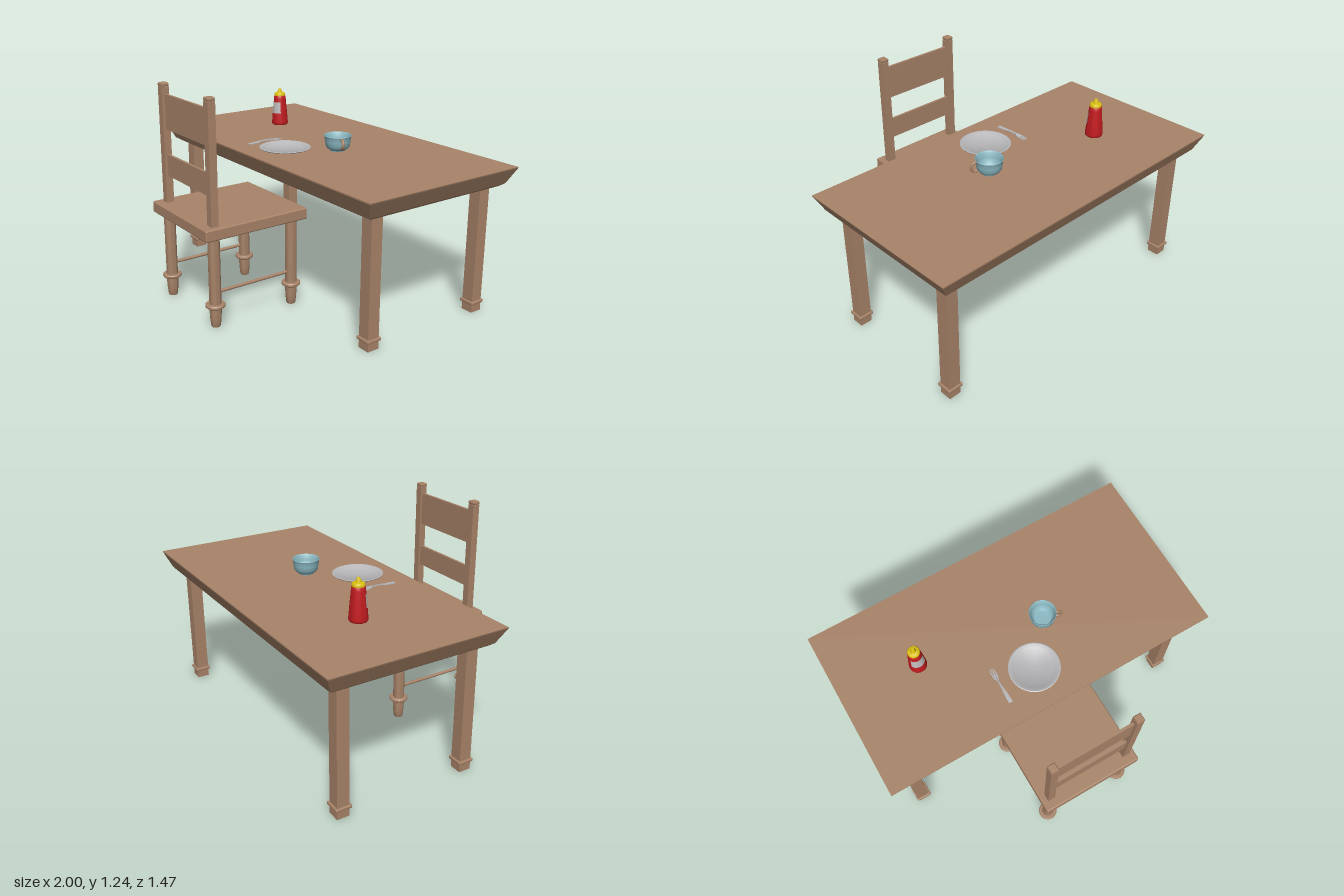
import * as THREE from 'three';
import { toCreasedNormals } from 'three/addons/utils/BufferGeometryUtils.js';
import { RoundedBoxGeometry } from 'three/addons/geometries/RoundedBoxGeometry.js';

const material = (name, color, side = THREE.FrontSide) => {
  const m = new THREE.MeshStandardMaterial({ color, side });
  m.name = name;
  return m;
};

// Flat-sided solid through rectangular sections [halfX, halfZ, y]
function rectLoft(sections) {
  const corners = [[1, 1], [1, -1], [-1, -1], [-1, 1]];
  const pos = [];
  const point = (i, k) => {
    const [hx, hz, y] = sections[i], [sx, sz] = corners[k % 4];
    return [sx * hx, y, sz * hz];
  };
  const quad = (a, b, c, d) => pos.push(...a, ...b, ...c, ...a, ...c, ...d);
  const last = sections.length - 1;
  for (let i = 0; i < last; i++)
    for (let k = 0; k < 4; k++)
      quad(point(i, k), point(i, k + 1), point(i + 1, k + 1), point(i + 1, k));
  quad(point(0, 3), point(0, 2), point(0, 1), point(0, 0));
  quad(point(last, 0), point(last, 1), point(last, 2), point(last, 3));
  const g = new THREE.BufferGeometry();
  g.setAttribute('position', new THREE.Float32BufferAttribute(pos, 3));
  g.computeVertexNormals();
  return g;
}

function lathe(profile, segments = 32, start = 0, length = Math.PI * 2) {
  const pts = profile.map(([r, y]) => new THREE.Vector2(r, y));
  return toCreasedNormals(new THREE.LatheGeometry(pts, segments, start, length), 0.6);
}

export function createModel() {
  const wood = material('wood', 0xa98469);
  const red = material('sauce red', 0xc41c20);
  const yellow = material('cap yellow', 0xdcc010);
  const teal = material('cup teal', 0x8cbac4);
  const silver = material('plate silver', 0xb8b8ba);
  const paper = material('label paper', 0xc2bcbc, THREE.DoubleSide);

  const model = new THREE.Group();
  const group = (name, x = 0, y = 0, z = 0) => {
    const g = new THREE.Group();
    g.name = name;
    g.position.set(x, y, z);
    model.add(g);
    return g;
  };
  const add = (parent, name, geometry, mat, x = 0, y = 0, z = 0) => {
    const mesh = new THREE.Mesh(geometry, mat);
    mesh.name = name;
    mesh.position.set(x, y, z);
    parent.add(mesh);
    return mesh;
  };

  // Table: sloped-edge top, hollow underneath, on four square legs
  const table = group('table', 0, 0, -0.225);
  add(table, 'tableTop', rectLoft([
    [0.915, 0.425, 0.765], [0.915, 0.425, 0.722], [0.932, 0.448, 0.722],
    [0.952, 0.472, 0.737], [0.998, 0.51, 0.825], [1, 0.51, 0.832],
  ]), wood);
  for (const sx of [-1, 1]) for (const sz of [-1, 1]) {
    const x = sx * 0.865, z = sz * 0.375;
    add(table, 'tableLeg', new THREE.BoxGeometry(0.07, 0.77, 0.07), wood, x, 0.385, z);
    add(table, 'tableLegCollar', new RoundedBoxGeometry(0.09, 0.018, 0.09, 2, 0.005), wood, x, 0.056, z);
  }

  // Chair: slab seat, turned legs, square back posts and two slats
  const chair = group('chair', -0.018, 0, 0.418);
  add(chair, 'seat', new RoundedBoxGeometry(0.596, 0.064, 0.63, 2, 0.008), wood, 0, 0.541, 0);
  const legShape = lathe([
    [0, 0.008], [0.023, 0.008], [0.026, 0.016], [0.03, 0.05], [0.032, 0.09], [0.032, 0.53],
  ], 24);
  const collarShape = lathe([
    [0.03, 0.12], [0.048, 0.12], [0.053, 0.125], [0.053, 0.135], [0.048, 0.14], [0.03, 0.14],
  ], 24);
  const postShape = rectLoft([
    [0.0215, 0.0215, 0.56], [0.0215, 0.0215, 1.218], [0.0195, 0.0195, 1.221],
    [0.0215, 0.0215, 1.224], [0.0215, 0.0215, 1.234], [0.018, 0.018, 1.24],
  ]);
  for (const s of [-1, 1]) {
    const x = s * 0.243;
    for (const z of [-0.244, 0.243]) {
      add(chair, 'chairLeg', legShape, wood, x, 0, z);
      add(chair, 'chairLegCollar', collarShape, wood, x, 0, z);
    }
    const bar = new THREE.CylinderGeometry(0.009, 0.009, 0.48, 12).rotateX(Math.PI / 2);
    add(chair, 'stretcher', bar, wood, x, 0.202, 0);
    add(chair, 'backPost', postShape, wood, x + 0.001, 0, 0.243);
  }
  for (const [y0, y1] of [[0.725, 0.847], [0.988, 1.18]])
    add(chair, 'backSlat', new THREE.BoxGeometry(0.46, y1 - y0, 0.015), wood, 0, (y0 + y1) / 2, 0.241);

  // Squeeze bottle
  const bottle = group('bottle', -0.54, 0.832, -0.288);
  add(bottle, 'bottleBody', lathe([
    [0, 0], [0.046, 0], [0.05, 0.006], [0.05, 0.018], [0.045, 0.08], [0.037, 0.165],
    [0.035, 0.182], [0.031, 0.188], [0, 0.188],
  ]), red);
  add(bottle, 'bottleCap', lathe([
    [0.031, 0.18], [0.034, 0.182], [0.034, 0.194], [0.03, 0.2], [0.016, 0.204],
    [0.013, 0.213], [0.008, 0.227], [0, 0.228],
  ]), yellow);
  add(bottle, 'bottleLabel', lathe([[0.0462, 0.074], [0.0396, 0.144]], 16, -1.08, 2.16), paper);

  // Plate
  const plate = group('plate', 0, 0.832, 0.053);
  add(plate, 'plateDish', lathe([
    [0, 0], [0.1, 0], [0.142, 0.012], [0.145, 0.016], [0.14, 0.018],
    [0.117, 0.012], [0.108, 0.006], [0, 0.006],
  ], 48), silver);

  // Fork: flat outline, arched along its length
  const half = [[0.011, -0.11], [0.012, -0.1], [0.01, -0.05], [0.006, -0.02], [0.005, 0.03],
    [0.014, 0.05], [0.016, 0.065], [0.014, 0.11], [0.009, 0.11], [0.008, 0.07],
    [0.004, 0.07], [0.003, 0.11]];
  const outline = [...half, ...half.map(([x, y]) => [-x, y]).reverse()];
  const forkShape = new THREE.Shape(outline.map(([x, y]) => new THREE.Vector2(x, y)));
  const forkGeo = new THREE.ExtrudeGeometry(forkShape, { depth: 0.004, bevelEnabled: false });
  forkGeo.rotateX(-Math.PI / 2);
  const fp = forkGeo.attributes.position;
  for (let i = 0; i < fp.count; i++)
    fp.setY(i, fp.getY(i) + 0.01 * Math.exp(-((fp.getZ(i) + 0.01) ** 2) / 0.002));
  forkGeo.computeVertexNormals();
  add(group('fork', -0.21, 0.832, 0.05), 'forkBody', forkGeo, silver);

  // Cup with a looped handle
  const cup = group('cup', 0.188, 0.832, -0.176);
  add(cup, 'cupBowl', lathe([
    [0, 0], [0.042, 0], [0.043, 0.005], [0.058, 0.014], [0.068, 0.03], [0.072, 0.055],
    [0.074, 0.078], [0.078, 0.087], [0.076, 0.09], [0.071, 0.084], [0.067, 0.055],
    [0.062, 0.03], [0.048, 0.014], [0, 0.01],
  ]), teal);
  const arc = new THREE.TorusGeometry(0.026, 0.0085, 12, 28, Math.PI * 1.16).rotateZ(-Math.PI * 0.58);
  const handle = add(cup, 'cupHandle', arc, wood, 0.073, 0.052, 0.029);
  handle.rotation.y = -0.38;

  return model;
}
